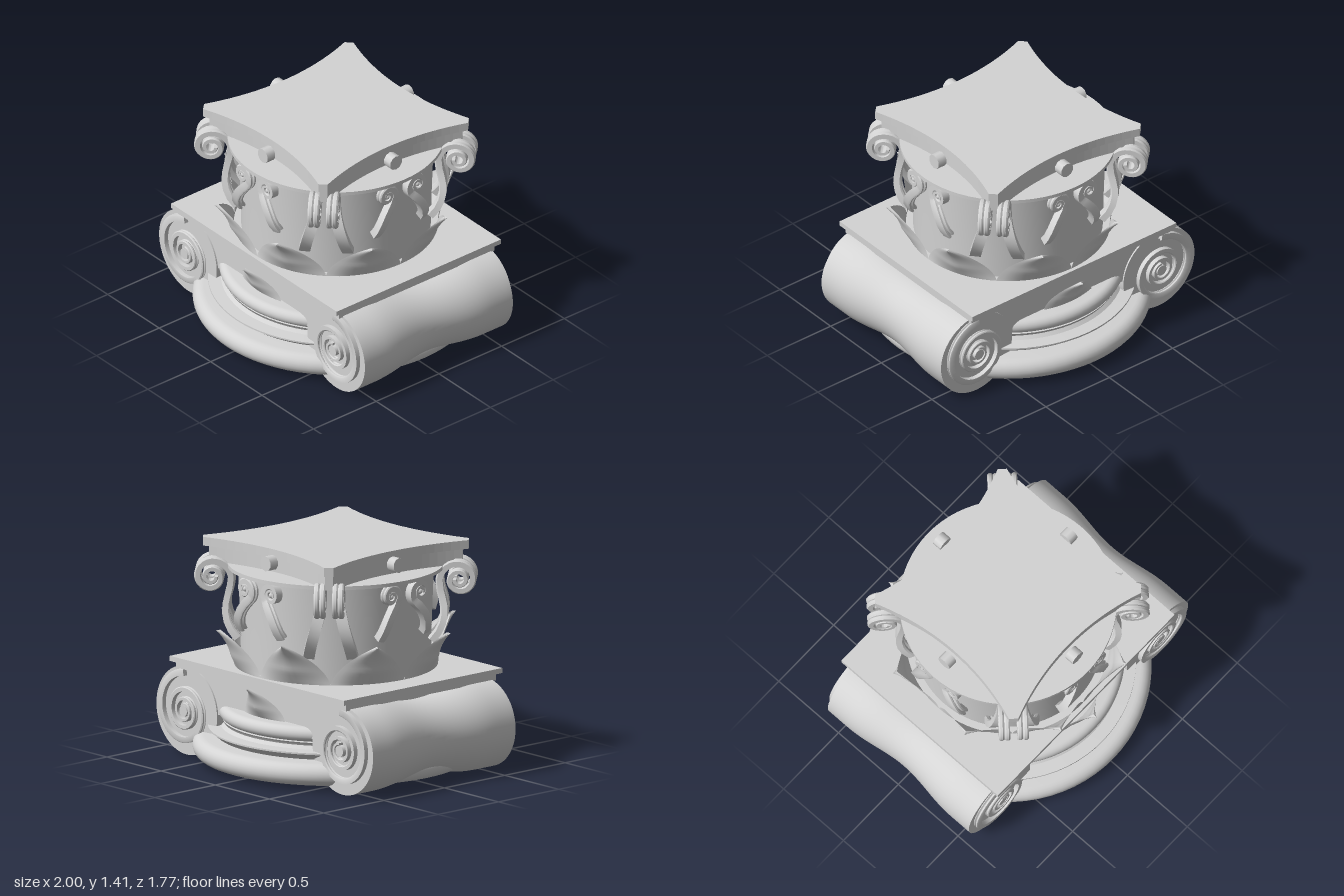
import * as THREE from 'three';
import { toCreasedNormals } from 'three/addons/utils/BufferGeometryUtils.js';

const stone = new THREE.MeshStandardMaterial({ color: 0xd4d4d4, side: THREE.DoubleSide });
stone.name = 'stone grey';

const V = (x, y, z) => new THREE.Vector3(x, y, z);

function add(parent, name, geometry, x = 0, y = 0, z = 0) {
  const mesh = new THREE.Mesh(geometry, stone);
  mesh.name = name;
  mesh.position.set(x, y, z);
  parent.add(mesh);
  return mesh;
}

function lathe(pairs, segments = 72) {
  return toCreasedNormals(new THREE.LatheGeometry(pairs.map(p => new THREE.Vector2(...p)), segments), 0.6);
}

// points of a half-round moulding, from bottom to top
function halfRound(r, y, minor) {
  return Array.from({ length: 13 }, (_, i) => {
    const a = -Math.PI / 2 + Math.PI * i / 12;
    return [r + minor * Math.cos(a), y + minor * Math.sin(a)];
  });
}

function indexed(pos, idx) {
  const g = new THREE.BufferGeometry();
  g.setAttribute('position', new THREE.Float32BufferAttribute(pos, 3));
  g.setIndex(idx);
  return g;
}

// grooved ribbon swept along a path, tapering to the given end scale; side is the direction of its width
function ribbon(path, side, w, t, endScale) {
  const section = [[1, -1], [1, 0.6], [0.75, 1], [0.3, 1], [0, 0.55], [-0.3, 1], [-0.75, 1], [-1, 0.6], [-1, -1]];
  const n = section.length, pos = [], idx = [];
  path.forEach((p, i) => {
    const T = path[Math.min(i + 1, path.length - 1)].clone().sub(path[Math.max(i - 1, 0)]).normalize();
    const N = T.clone().cross(side).normalize(), S = N.clone().cross(T);
    const k = Math.pow(endScale, i / (path.length - 1));
    for (const [a, b] of section) {
      const q = p.clone().addScaledVector(S, a * w / 2).addScaledVector(N, b * t / 2 * k);
      pos.push(q.x, q.y, q.z);
    }
    if (i) for (let j = 0; j < n; j++) {
      const a = (i - 1) * n + j, b = (i - 1) * n + (j + 1) % n;
      idx.push(a, b, a + n, b, b + n, a + n);
    }
  });
  const e = (path.length - 1) * n;
  for (let j = 1; j < n - 1; j++) idx.push(0, j + 1, j, e, e + j, e + j + 1);
  return toCreasedNormals(indexed(pos, idx), 0.6);
}

// inward clockwise spiral as [u, v] pairs
function spiral(cu, cv, r0, r1, start, turns, steps) {
  return Array.from({ length: steps + 1 }, (_, i) => {
    const f = i / steps, a = start - turns * 2 * Math.PI * f, r = r0 * Math.pow(r1 / r0, f);
    return [cu + r * Math.cos(a), cv + r * Math.sin(a)];
  });
}

// pointed leaf with a centre ridge, bent outward toward +z
function leaf(r0, r1, y0, h, w) {
  const rows = 14, cols = 12, pos = [], idx = [];
  for (let i = 0; i <= rows; i++) {
    const v = i / rows, half = w * (1 - Math.pow(v, 1.5));
    for (let j = 0; j <= cols; j++) {
      const u = j / cols * 2 - 1;
      const ridge = 0.055 * (1 - Math.abs(u)) * (1 - v) * Math.min(1, 3 * v);
      const r = r0 + (r1 - r0) * v * v + ridge - 0.03 * u * u * v;
      const a = u * half / r0;
      pos.push(r * Math.sin(a), y0 + h * v, r * Math.cos(a));
      if (i && j) {
        const d = i * (cols + 1) + j, c = d - 1, b = d - cols - 1, e = b - 1;
        idx.push(e, b, c, b, d, c);
      }
    }
  }
  return toCreasedNormals(indexed(pos, idx), 0.5);
}

// square slab with hollowed sides and clipped corners
function hollowSlab(half, clip, middle, height) {
  const s = new THREE.Shape();
  const c = half - clip, bend = 2 * middle - half;
  s.moveTo(-c, -half);
  s.quadraticCurveTo(0, -bend, c, -half);
  s.lineTo(half, -c);
  s.quadraticCurveTo(bend, 0, half, c);
  s.lineTo(c, half);
  s.quadraticCurveTo(0, bend, -c, half);
  s.lineTo(-half, c);
  s.quadraticCurveTo(-bend, 0, -half, -c);
  const g = new THREE.ExtrudeGeometry(s, { depth: height, bevelEnabled: false, curveSegments: 20 });
  return g.rotateX(-Math.PI / 2);
}

function turned(parent, name, angle) {
  const g = new THREE.Group();
  g.name = name;
  g.rotation.y = angle;
  parent.add(g);
  return g;
}

export function createModel() {
  const model = new THREE.Group();
  model.name = 'columnCapital';

  // moulded base, recessed underneath, with a beaded inner rim
  add(model, 'ringBase', lathe([
    [0, 0.22], [0.56, 0.22], [0.56, 0.11], [0.575, 0.1], [0.62, 0.1], [0.65, 0.065], [0.72, 0.038], ...halfRound(0.815, 0.1, 0.07),
    [0.74, 0.175], [0.75, 0.185], [0.79, 0.215], [0.79, 0.225], [0.71, 0.23],
    [0.69, 0.25], [0.70, 0.27], ...halfRound(0.675, 0.32, 0.047), [0, 0.367]]));
  for (let i = 0; i < 32; i++) {
    const a = i / 32 * Math.PI * 2;
    add(model, 'baseBead', new THREE.SphereGeometry(0.035, 10, 8), 0.605 * Math.cos(a), 0.105, 0.605 * Math.sin(a));
  }

  // scroll block with its slab
  add(model, 'scrollBlock', new THREE.BoxGeometry(1.44, 0.25, 1.16), 0, 0.425, 0);
  add(model, 'lowerSlabStep', new THREE.BoxGeometry(1.57, 0.045, 1.24), 0, 0.5675, 0);
  add(model, 'lowerSlab', new THREE.BoxGeometry(1.61, 0.032, 1.31), 0, 0.605, 0);

  // side bolsters, waisted in the middle
  const bolster = [[0, -0.59]];
  for (let i = 0; i <= 28; i++) {
    const z = -0.59 + 1.18 * i / 28;
    const dip = Math.abs(z) < 0.43 ? Math.cos(Math.PI * z / 0.86) ** 2 : 0;
    bolster.push([0.28 - 0.045 * dip, z]);
  }
  bolster.push([0, 0.59]);
  for (const s of [-1, 1]) add(model, 'bolster', lathe(bolster, 56).rotateX(Math.PI / 2), s * 0.72, 0.28, 0);

  // spiral reliefs and central leaf, front and back
  for (const angle of [0, Math.PI]) {
    const face = turned(model, 'scrollFace', angle);
    for (const s of [-1, 1]) {
      const path = spiral(0, 0, 0.245, 0.045, Math.PI / 2, 3, 120).map(([u, v]) => V(s * (0.72 + u), 0.28 + v, 0.6));
      add(face, 'scrollRelief', ribbon(path, V(0, 0, 1), 0.04, 0.045, 0.35));
      add(face, 'scrollEye', new THREE.CylinderGeometry(0.035, 0.035, 0.04, 20).rotateX(Math.PI / 2), s * 0.72, 0.28, 0.6);
    }
    add(face, 'centreLeaf', leaf(0.62, 0.745, 0.365, 0.2, 0.19));
  }

  // bell with its lip
  add(model, 'bell', lathe([
    [0, 0.62], [0.585, 0.62], [0.59, 0.85], [0.597, 1.05], [0.605, 1.235],
    [0.67, 1.235], [0.67, 1.258], [0, 1.258]]));

  // ring of eight leaves
  for (let i = 0; i < 8; i++) {
    add(turned(model, 'leafMount', (i + 0.5) * Math.PI / 4), 'bellLeaf', leaf(0.63, 0.785, 0.62, 0.265, 0.248));
  }

  for (let k = 0; k < 4; k++) {
    const corner = turned(model, 'cornerScrolls', (k + 0.5) * Math.PI / 2);
    const side = turned(model, 'sideScrolls', k * Math.PI / 2);
    for (const s of [-1, 1]) {
      // paired corner scrolls on bowed stems
      const stalk = [[0.135, 0.8, 0.595], [0.126, 0.85, 0.635], [0.114, 0.9, 0.66], [0.1, 0.95, 0.672],
        [0.085, 1.0, 0.672], [0.072, 1.05, 0.662], [0.062, 1.1, 0.648]];
      const curl = spiral(0.765, 1.17, 0.125, 0.03, Math.PI, 2, 48);
      const cornerPath = [...stalk, ...curl.map(([r, y]) => [0.057, y, r])].map(([x, y, z]) => V(s * x, y, z));
      add(corner, 'cornerScroll', ribbon(cornerPath, V(1, 0, 0), 0.07, 0.05, 0.45));

      // small inner scrolls on bowed stems
      const stem = [[0.185, 0.9, 0.61], [0.178, 0.94, 0.635], [0.163, 0.985, 0.648], [0.14, 1.03, 0.65], [0.11, 1.07, 0.645], [0.085, 1.097, 0.638]];
      const small = spiral(0.12, 1.165, 0.07, 0.02, -Math.PI * 0.75, 1.7, 40);
      const sidePath = [...stem, ...small.map(([u, y]) => [u, y, 0.63])].map(([x, y, z]) => V(s * x, y, z));
      add(side, 'sideScroll', ribbon(sidePath, V(0, 0, 1), 0.05, 0.06, 0.25));
      add(side, 'sideScrollEye', new THREE.SphereGeometry(0.018, 12, 8), s * 0.12, 1.165, 0.64);
    }
    // boss in the middle of each hollow side
    add(side, 'sideBoss', new THREE.CylinderGeometry(0.048, 0.048, 0.062, 10).rotateX(Math.PI / 2), 0, 1.335, 0.553);
  }

  // top slab in two tiers
  add(model, 'topSlabStep', hollowSlab(0.57, 0.035, 0.47, 0.098), 0, 1.258, 0);
  add(model, 'topSlab', hollowSlab(0.6, 0.04, 0.5, 0.055), 0, 1.355, 0);
  return model;
}
